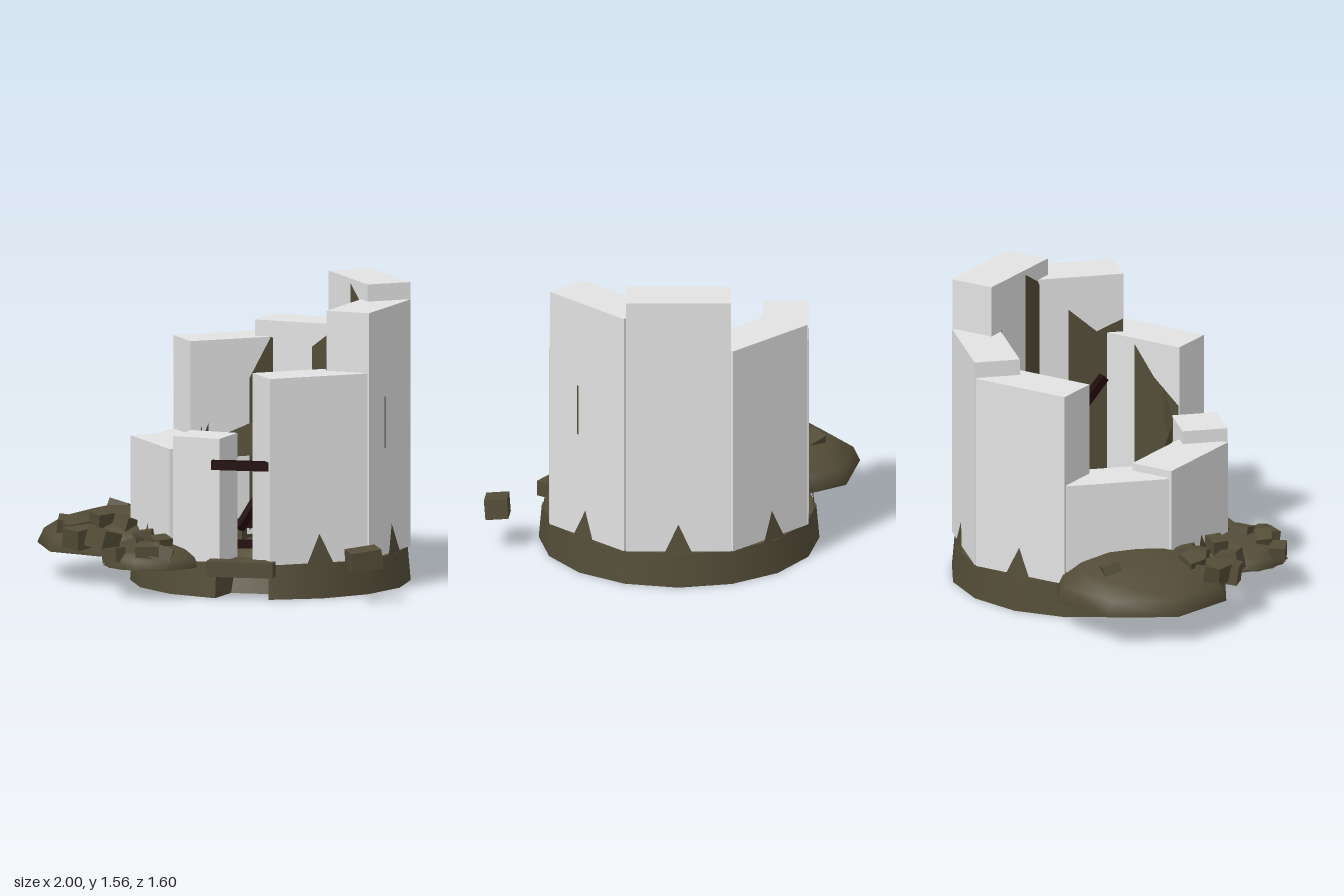
import * as THREE from 'three';

const rad = THREE.MathUtils.degToRad;

export function createModel() {
  const mat = (name, color, side = THREE.FrontSide) => {
    const m = new THREE.MeshStandardMaterial({ color, side });
    m.name = name;
    return m;
  };
  const stone = mat('pale stone', 0xe2e2e2);
  const earth = mat('earth', 0x534c37, THREE.DoubleSide);
  const wood = mat('charred wood', 0x200708);

  const model = new THREE.Group();
  model.name = 'ruinedTower';
  const tower = new THREE.Group();
  tower.name = 'tower';
  tower.position.set(0.245, 0, -0.085);
  model.add(tower);

  const add = (parent, name, geo, material, x = 0, y = 0, z = 0) => {
    const m = new THREE.Mesh(geo, material);
    m.name = name;
    m.position.set(x, y, z);
    parent.add(m);
    return m;
  };
  const lathe = (pts, segs, start, len) => new THREE.LatheGeometry(
    pts.map(([r, y]) => new THREE.Vector2(r, y)), segs, rad(start), rad(len));
  const plate = (pts) => new THREE.ShapeGeometry(
    new THREE.Shape(pts.map(([x, y]) => new THREE.Vector2(x, y))));

  // Hollow footing: the outer skin is open at the gate
  const footing = new THREE.Group();
  footing.name = 'footing';
  tower.add(footing);
  add(footing, 'footingOuterSkin', lathe([[0.73, 0], [0.714, 0.18]], 15, 11.25, 337.5), earth);
  add(footing, 'footingInnerSkin', lathe([[0.52, 0], [0.445, 0.178]], 16, 11.25, 360), earth);
  add(footing, 'footingRim', lathe([[0.714, 0.179], [0.66, 0.179]], 16, 11.25, 360), earth);
  add(footing, 'gateLedge', lathe([[0.66, 0.179], [0.445, 0.179]], 3, -33.75, 67.5), earth);
  for (const s of [-1, 1]) {
    const cheek = add(footing, 'gateCheek',
      plate([[0.52, 0], [0.73, 0], [0.714, 0.178], [0.445, 0.178]]), earth);
    cheek.rotation.y = rad(-90 + s * 11.25);
  }

  // Wall bays: turn, top height, left and right ends, outline of the torn lining panel
  const bays = [
    { turn: 168.75, top: 1.295, lining: [[-0.245, 0.3], [-0.05, 0.3], [-0.05, 1.17], [-0.14, 1.24], [-0.19, 1.31], [-0.245, 1.47]] },
    { turn: 123.75, top: 1.565, lining: [[-0.27, 0.3], [-0.05, 0.3], [-0.05, 1.54], [-0.17, 1.47], [-0.27, 1.3]] },
    { turn: 78.75, top: 1.475, lining: [[-0.27, 0.3], [0.02, 0.3], [0.02, 1.3], [-0.13, 1.17], [-0.27, 1.23]] },
    { turn: 33.75, top: 1.16, lining: [[-0.27, 0.3], [0, 0.3], [0, 1.13], [-0.12, 0.97], [-0.27, 0.84]] },
    { turn: -11.25, top: 0.83, ends: [-0.262, 0], lining: [[-0.05, 0.7], [0.2, 0.73], [0.2, 0.93], [0.08, 0.89], [-0.05, 0.83]] },
    { turn: -56.25, top: 0.76, lining: [[-0.15, 0.3], [0.13, 0.3], [0.115, 0.845], [0, 0.7], [-0.15, 0.6]] },
    { turn: -101.25, top: 0.72, lining: [[-0.27, 0.3], [0, 0.3], [0, 0.65], [-0.15, 0.74], [-0.26, 0.85]] },
    { turn: -146.25, top: 1.21, lining: [[-0.28, 0.42], [-0.055, 0.2], [-0.055, 1.0], [-0.175, 1.21], [-0.28, 1.16]] },
  ];
  for (const { turn, top, ends = [-0.273, 0.273], lining } of bays) {
    const bay = new THREE.Group();
    bay.name = 'wallBay';
    bay.rotation.y = rad(turn);
    tower.add(bay);
    add(bay, 'wallBlock', new THREE.BoxGeometry(ends[1] - ends[0], top - 0.18, 0.24), stone,
      (ends[0] + ends[1]) / 2, (top + 0.18) / 2, 0.555);
    add(bay, 'tornLining', plate(lining), earth, 0, 0, 0.43);
    // footing spikes everywhere but the gate
    if (turn !== -11.25) {
      const spike = add(bay, 'footingSpike', plate([[-0.078, 0], [0.078, 0], [0, 0.165]]), earth, 0, 0.17, 0.703);
      spike.rotation.x = -0.1;
    }
    if (turn === 78.75) {
      add(bay, 'arrowSlit', new THREE.BoxGeometry(0.009, 0.27, 0.006), earth, -0.065, 0.875, 0.674);
    }
  }

  // Doorstep and timbers
  add(model, 'doorstep', new THREE.BoxGeometry(0.355, 0.08, 0.12), earth, 0.242, 0.16, 0.63);
  const beam = (name, a, b, w = 0.042) => {
    const p = new THREE.Vector3(...a), q = new THREE.Vector3(...b);
    const m = add(model, name, new THREE.BoxGeometry(w, w, p.distanceTo(q)), wood);
    m.position.copy(p).add(q).multiplyScalar(0.5);
    m.lookAt(q);
  };
  beam('gateLintel', [0.077, 0.695, 0.59], [0.39, 0.695, 0.59], 0.048);
  beam('fallenBeam', [-0.04, 0.26, -0.29], [0.68, 0.3, -0.15]);
  beam('fallenBeam', [0.1, 0.28, 0.01], [0.45, 0.95, -0.47]);
  beam('fallenBeam', [0.51, 0.3, -0.45], [0.6, 0.93, 0.15]);
  beam('fallenBeam', [0.04, 0.22, 0.18], [0.44, 0.24, 0.25]);

  // Earth mounds: squashed domes with flat undersides
  const mound = (name, x, y, z, r, h, sides) => {
    const g = new THREE.Group();
    g.name = name;
    g.position.set(x, y, z);
    g.scale.set(r, h, r);
    model.add(g);
    add(g, name + 'Dome', new THREE.SphereGeometry(1, sides, 4, 0, Math.PI * 2, 0, Math.PI / 2), earth);
    add(g, name + 'Underside', new THREE.CircleGeometry(1, sides), earth).rotation.x = Math.PI / 2;
  };
  mound('largeMound', -0.53, 0.155, -0.135, 0.475, 0.2, 8);
  mound('smallMound', -0.25, 0.155, 0.54, 0.26, 0.12, 9);
  mound('courtyardMound', 0.3, 0.09, -0.175, 0.335, 0.14, 10);

  // Rubble: x, y, z, size, turn in degrees
  const rubble = [
    [-0.61, 0.31, -0.34, 0.11, -10], [-0.08, 0.22, -0.36, 0.1, -25], [-0.08, 0.2, 0.05, 0.11, -20],
    [-0.16, 0.25, -0.04, 0.09, 15], [-0.17, 0.25, -0.14, 0.08, 70], [-0.48, 0.3, 0.14, 0.11, -30],
    [-0.72, 0.27, 0.2, 0.13, 30], [-0.79, 0.29, 0.12, 0.1, 5], [-0.68, 0.32, 0.09, 0.11, 10],
    [-0.69, 0.25, 0.28, 0.14, 55], [-0.55, 0.25, 0.36, 0.14, -35], [-0.33, 0.27, 0.38, 0.1, 5],
    [-0.2, 0.27, 0.58, 0.1, 40], [-0.33, 0.26, 0.65, 0.1, -20], [-0.24, 0.24, 0.7, 0.12, 5],
    [-0.17, 0.23, 0.69, 0.11, 10], [-0.42, 0.22, 0.69, 0.1, -30], [-0.6, 0.33, 0.16, 0.1, 50],
  ];
  rubble.forEach(([x, y, z, s, turn], i) => {
    const m = add(model, 'rubbleBlock', new THREE.BoxGeometry(s, s * 0.75, s * 0.85), earth, x, y, z);
    m.rotation.set(((i * 7) % 5 - 2) * 0.14, rad(turn), ((i * 3) % 5 - 2) * 0.14);
  });
  add(model, 'courtyardBlock', new THREE.BoxGeometry(0.14, 0.09, 0.09), earth, 0.02, 0.22, -0.17).rotation.y = rad(-4);
  add(model, 'strayBlock', new THREE.BoxGeometry(0.165, 0.105, 0.12), earth, 0.89, 0.228, 0.62).rotation.set(0.1, rad(30), 0.06);

  return model;
}
